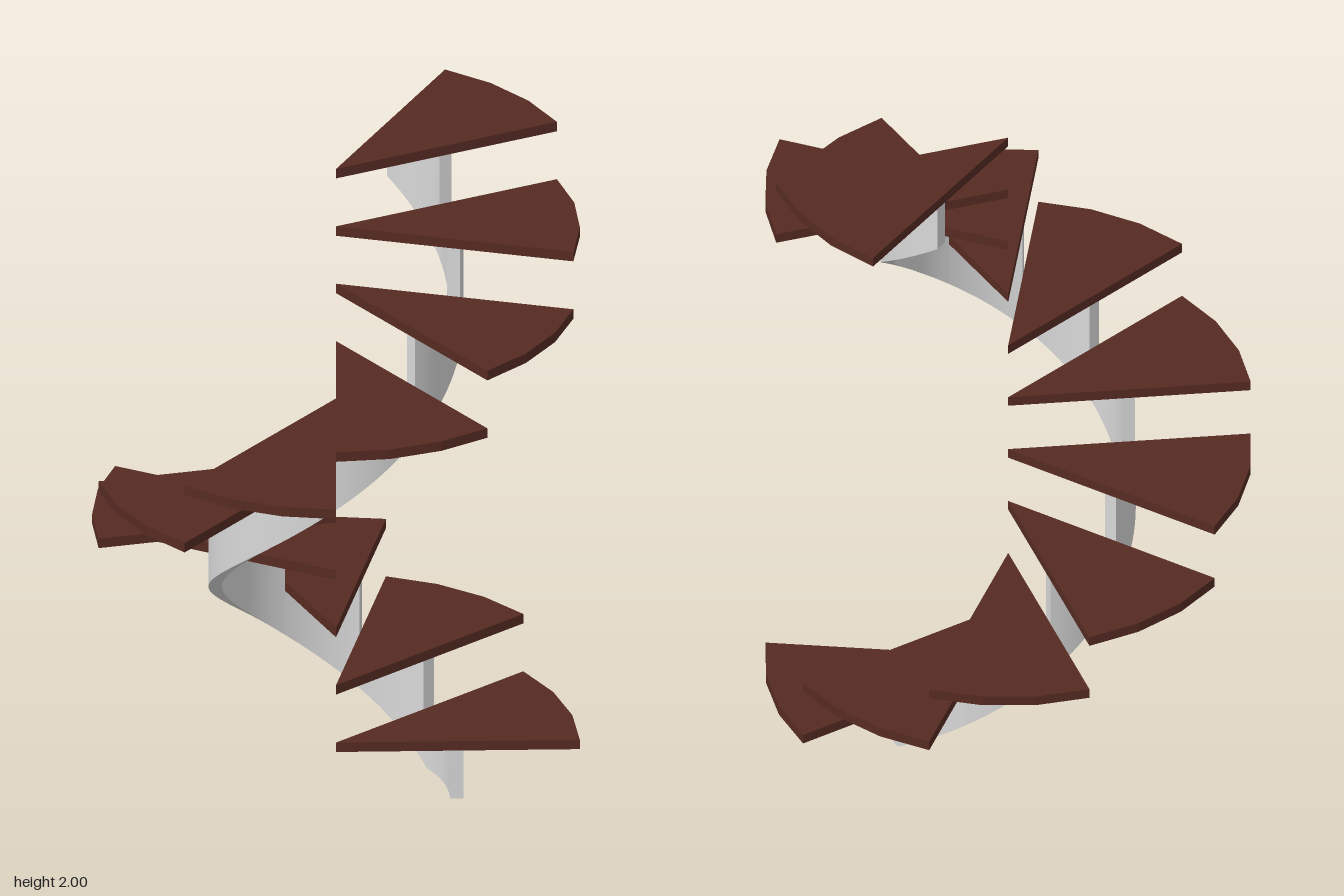
import * as THREE from 'three';
import { mergeGeometries } from 'three/addons/utils/BufferGeometryUtils.js';

const STEPS = 11;
const RISE = 2 / STEPS;
const THICK = 0.03;                              // tread thickness
const TREAD_R = 0.688;
const IN = 0.322, OUT = 0.36;                    // stringer radii
const START = THREE.MathUtils.degToRad(37.58);
const TURN = THREE.MathUtils.degToRad(38.36);    // turn per step
const FLOOR_T = 0.934;                           // where the stringer leaves the floor

const angle = (t) => START + t * TURN;
const point = (r, t, y) => new THREE.Vector3(r * Math.cos(angle(t)), y, -r * Math.sin(angle(t)));
const underside = (t) => Math.max(0, (t - FLOOR_T) * RISE);
const treadBase = (k) => (k + 1) * RISE - THICK;

// Ribbon of quads between two rows of points, with its own smooth normals
function strip(lower, upper) {
  const pos = [], index = [];
  lower.forEach((p, i) => {
    pos.push(...p.toArray(), ...upper[i].toArray());
    if (i > 0) {
      const a = 2 * i - 2;
      index.push(a, a + 2, a + 3, a, a + 3, a + 1);
    }
  });
  const g = new THREE.BufferGeometry();
  g.setAttribute('position', new THREE.Float32BufferAttribute(pos, 3));
  g.setIndex(index);
  g.computeVertexNormals();
  return g;
}

// Wedge from the central axis to a rim of three straight facets
function treadGeometry(k) {
  const shape = new THREE.Shape();
  shape.moveTo(0, 0);
  for (let i = 0; i <= 3; i++) {
    const a = angle(k + i / 3);
    shape.lineTo(TREAD_R * Math.cos(a), TREAD_R * Math.sin(a));
  }
  shape.closePath();
  const g = new THREE.ExtrudeGeometry(shape, { depth: THICK, bevelEnabled: false });
  g.rotateX(-Math.PI / 2);
  return g;
}

// Curved wall under one tread: stepped top, helical underside
function stringerGeometry(k) {
  const ts = [];
  for (let i = 0; i <= 12; i++) ts.push(k + i / 12);
  if (k === 0) ts.splice(12, 0, FLOOR_T);
  const top = treadBase(k);
  const row = (r, height) => ts.map((t) => point(r, t, height(t)));
  const outLow = row(OUT, underside), outTop = row(OUT, () => top);
  const inLow = row(IN, underside), inTop = row(IN, () => top);
  const parts = [strip(outLow, outTop), strip(inTop, inLow), strip(inLow, outLow)];

  // riser face at the start of the step
  const from = k === 0 ? 0 : treadBase(k - 1);
  parts.push(strip(
    [point(IN, k, from), point(OUT, k, from)],
    [point(IN, k, top), point(OUT, k, top)]));

  // closing face at the head of the stair
  if (k === STEPS - 1) {
    const y = underside(STEPS);
    parts.push(strip(
      [point(OUT, STEPS, y), point(IN, STEPS, y)],
      [point(OUT, STEPS, top), point(IN, STEPS, top)]));
  }
  return mergeGeometries(parts);
}

export function createModel() {
  const wood = new THREE.MeshStandardMaterial({ color: 0x562b22 });
  wood.name = 'dark red wood';
  const metal = new THREE.MeshStandardMaterial({ color: 0xd8d8d8 });
  metal.name = 'light grey metal';

  const model = new THREE.Group();
  model.name = 'spiralStaircase';
  const treads = new THREE.Group();
  treads.name = 'treads';
  model.add(treads);

  const walls = [];
  for (let k = 0; k < STEPS; k++) {
    const tread = new THREE.Mesh(treadGeometry(k), wood);
    tread.name = `tread${k + 1}`;
    tread.position.y = treadBase(k);
    treads.add(tread);
    walls.push(stringerGeometry(k));
  }

  const stringer = new THREE.Mesh(mergeGeometries(walls), metal);
  stringer.name = 'stringer';
  model.add(stringer);
  return model;
}
